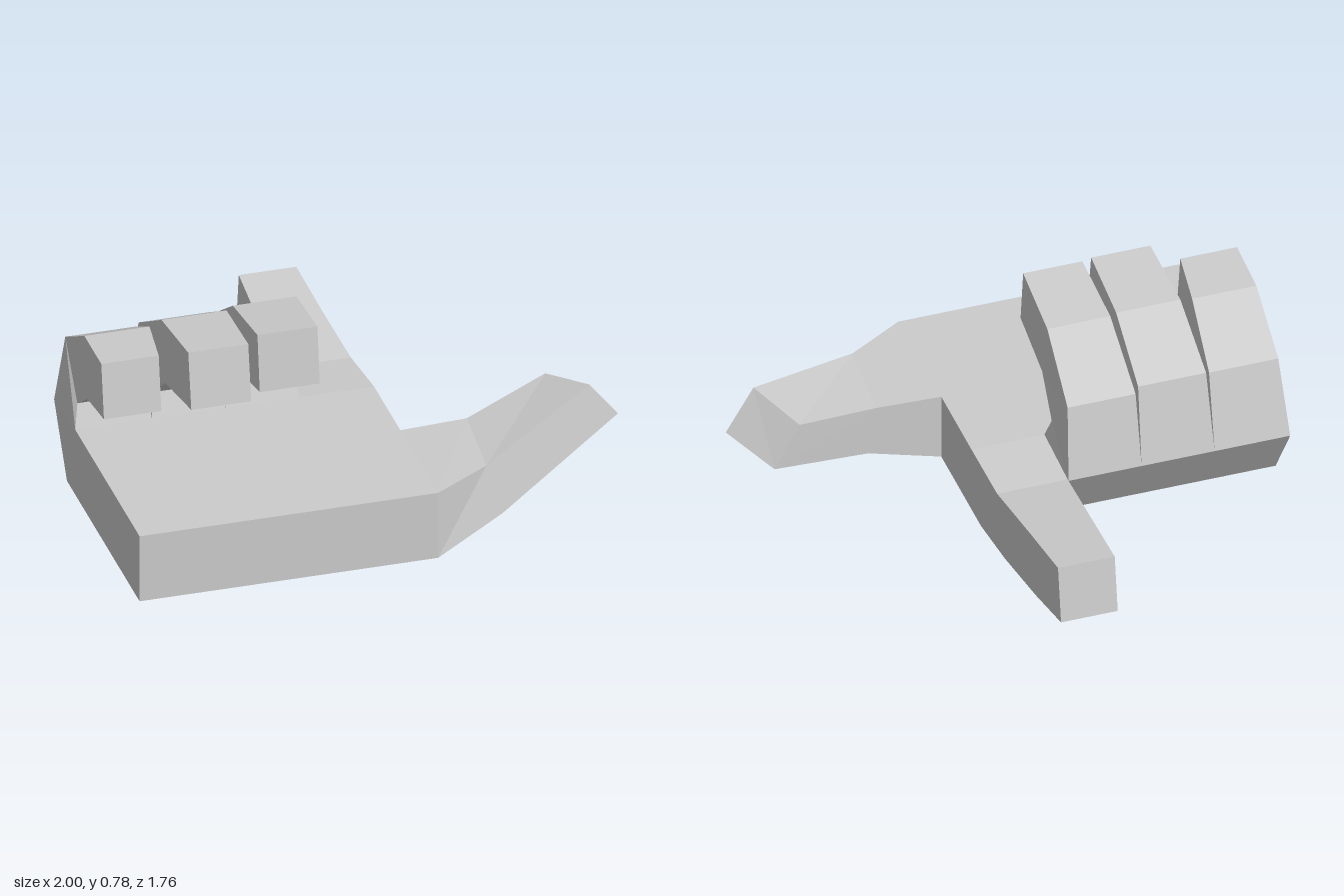
import * as THREE from 'three';

const material = new THREE.MeshStandardMaterial({ color: 0xcccccc, flatShading: true });

// Closed solid through a row of four-cornered cross-sections, faces turned outward
function loft(name, sections) {
  const tris = [];
  const quad = (a, b, c, d) => tris.push([a, b, c], [a, c, d]);
  for (let i = 0; i < sections.length - 1; i++) {
    const s = sections[i], t = sections[i + 1];
    for (let k = 0; k < 4; k++) {
      const n = (k + 1) % 4;
      quad(s[k], s[n], t[n], t[k]);
    }
  }
  const [a, b, c, d] = sections[0];
  quad(d, c, b, a);
  quad(...sections[sections.length - 1]);

  const v = (p) => new THREE.Vector3(...p);
  const volume = tris.reduce((sum, [p, q, r]) => sum + v(p).dot(v(q).cross(v(r))), 0);
  if (volume < 0) tris.forEach((t) => t.reverse());

  const geometry = new THREE.BufferGeometry();
  geometry.setAttribute('position', new THREE.Float32BufferAttribute(tris.flat(2), 3));
  geometry.computeVertexNormals();
  const mesh = new THREE.Mesh(geometry, material);
  mesh.name = name;
  return mesh;
}

// Cross-section spanning x0..x1 with an outer and an inner edge given as [y, z]
const span = (x0, x1, [yo, zo], [yi, zi]) => [
  [x0, yo, zo], [x1, yo, zo], [x1, yi, zi], [x0, yi, zi],
];

export function createModel() {
  const hand = new THREE.Group();
  hand.name = 'pointingHand';

  // Palm slab
  hand.add(loft('palm', [
    span(-1, 0.17, [0.28, 0.88], [0, 0.88]),
    span(-1, 0.17, [0.28, 0.38], [0, 0.38]),
    span(-1, 0.17, [0.28, 0.03], [0, -0.08]),
  ]));

  // Sloping knuckle wedge under the curled fingers
  hand.add(loft('knuckles', [
    span(-1, -0.12, [0.28, 0.03], [0, -0.08]),
    span(-1, -0.12, [0.26, -0.25], [0, -0.08]),
  ]));

  // Extended index finger
  hand.add(loft('indexFinger', [
    span(-0.12, 0.17, [0.28, 0.03], [0, -0.08]),
    span(-0.12, 0.16, [0.26, -0.24], [0.02, -0.33]),
    span(-0.11, 0.14, [0.295, -0.55], [0.055, -0.63]),
    span(-0.1, 0.125, [0.33, -0.845], [0.1, -0.88]),
  ]));

  // Curled fingers: x range at each joint, then the [y, z] of the outer and inner edges
  const curled = [
    {
      name: 'littleFinger',
      x: [[-1, -0.7], [-0.98, -0.705], [-0.985, -0.73], [-0.99, -0.765]],
      outer: [[0.26, -0.25], [0.57, -0.17], [0.72, 0.1], [0.73, 0.34]],
      inner: [[0.28, 0.03], [0.37, -0.01], [0.47, 0.14], [0.51, 0.375]],
    },
    {
      name: 'ringFinger',
      x: [[-0.7, -0.41], [-0.69, -0.42], [-0.68, -0.425], [-0.67, -0.435]],
      outer: [[0.26, -0.25], [0.58, -0.18], [0.735, 0.09], [0.765, 0.41]],
      inner: [[0.28, 0.03], [0.37, -0.01], [0.49, 0.14], [0.54, 0.45]],
    },
    {
      name: 'middleFinger',
      x: [[-0.41, -0.12], [-0.405, -0.135], [-0.395, -0.145], [-0.39, -0.155]],
      outer: [[0.26, -0.25], [0.56, -0.195], [0.74, 0.07], [0.78, 0.38]],
      inner: [[0.28, 0.03], [0.37, -0.01], [0.5, 0.13], [0.55, 0.41]],
    },
  ];
  for (const { name, x, outer, inner } of curled) {
    hand.add(loft(name, x.map(([x0, x1], i) => span(x0, x1, outer[i], inner[i]))));
  }

  // Thumb, spread sideways, raised and twisted toward its tip
  hand.add(loft('thumb', [
    [[0.17, 0.28, 0.88], [0.17, 0.28, 0.38], [0.17, 0, 0.38], [0.17, 0, 0.88]],
    [[0.4, 0.285, 0.74], [0.43, 0.29, 0.38], [0.46, 0.085, 0.38], [0.46, 0.075, 0.75]],
    [[0.88, 0.42, 0.485], [0.77, 0.37, 0.27], [0.88, 0.21, 0.24], [1, 0.26, 0.455]],
  ]));

  return hand;
}
